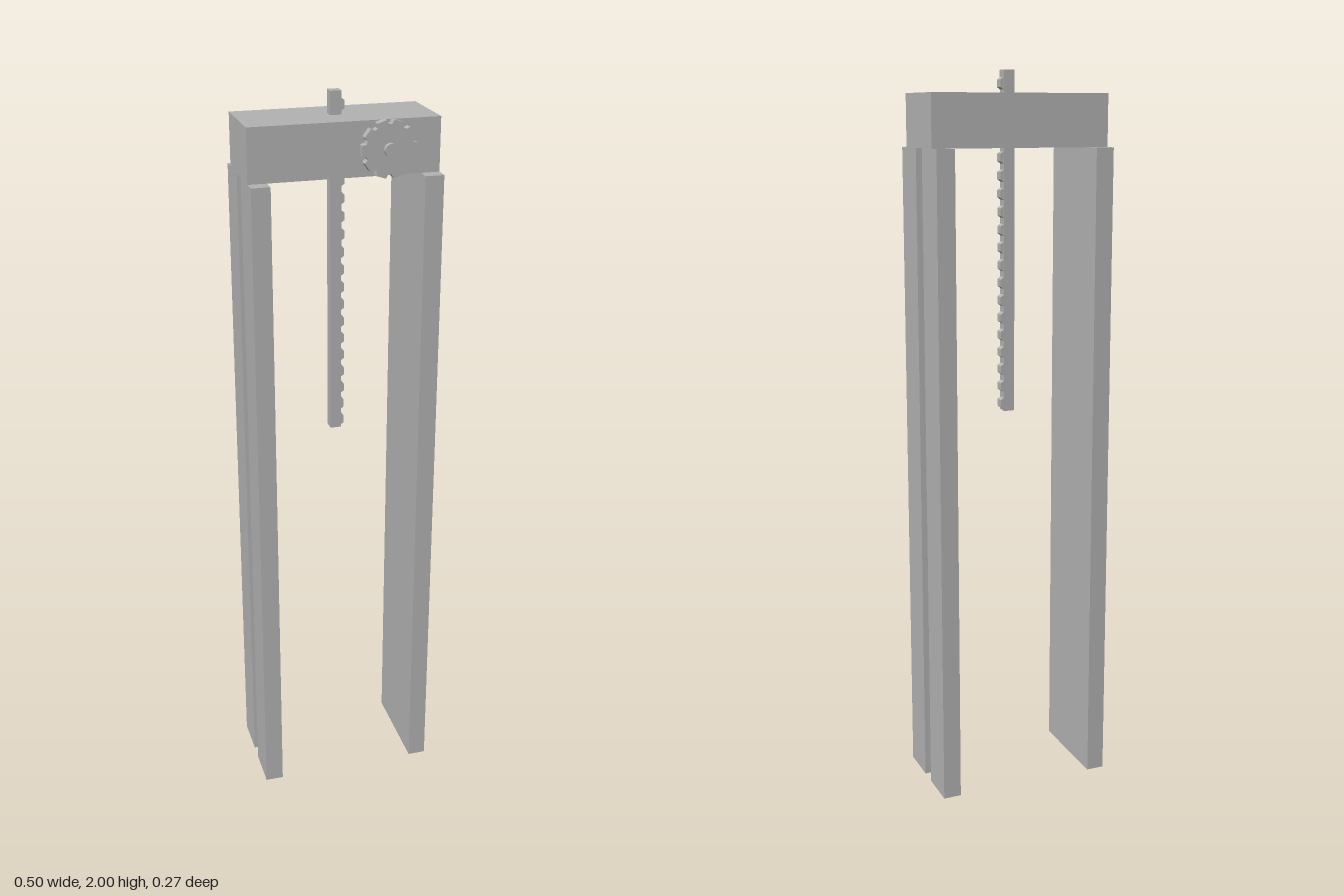
import * as THREE from 'three';

export function createModel() {
  const model = new THREE.Group();
  model.name = 'rackAndPinionGate';
  const grey = new THREE.MeshStandardMaterial({ color: 0xb3b3b3 });
  grey.name = 'grey';

  function add(name, geometry, x = 0, y = 0, z = 0, parent = model) {
    const mesh = new THREE.Mesh(geometry, grey);
    mesh.name = name;
    mesh.position.set(x, y, z);
    parent.add(mesh);
    return mesh;
  }
  const box = (w, h, d) => new THREE.BoxGeometry(w, h, d);
  const extrude = (points, depth) => new THREE.ExtrudeGeometry(
    new THREE.Shape(points.map(([x, y]) => new THREE.Vector2(x, y))),
    { depth, bevelEnabled: false });

  // Side posts: flat inside, with a full-height groove in the outer face
  const postHeight = 1.8;
  for (const side of [1, -1]) {
    const profile = [
      [0.2, -0.137], [0.25, -0.137], [0.25, -0.024], [0.228, -0.024],
      [0.228, 0.024], [0.25, 0.024], [0.25, 0.137], [0.2, 0.137],
    ].map(([x, z]) => [x * side, z]);
    const post = add(side > 0 ? 'leftPost' : 'rightPost', extrude(profile, postHeight), 0, postHeight, 0);
    post.rotation.x = Math.PI / 2;
  }

  // Cross beam
  add('crossBeam', box(0.5, 0.14, 0.2), 0, 1.87, 0);

  // Toothed rack passing through the beam
  const rack = new THREE.Group();
  rack.name = 'rack';
  model.add(rack);
  add('rackBar', box(0.03, 0.92, 0.03), 0, 1.54, 0, rack);
  const tooth = extrude([[0, -0.016], [0.009, -0.01], [0.009, 0.01], [0, 0.016]], 0.024);
  for (let i = 0; i < 19; i++) {
    add('rackTooth', tooth, 0.015, 1.965 - i * 0.048, -0.012, rack);
  }

  // Pinion gear on the front of the beam
  const gear = new THREE.Group();
  gear.name = 'gear';
  gear.position.set(0.11, 1.87, 0.1);
  model.add(gear);
  const teeth = 10;
  const outline = [];
  for (let i = 0; i < teeth; i++) {
    for (const [offset, radius] of [[-14, 0.063], [-10, 0.0735], [10, 0.0735], [14, 0.063]]) {
      const a = THREE.MathUtils.degToRad(i * 360 / teeth + offset);
      outline.push([radius * Math.cos(a), radius * Math.sin(a)]);
    }
  }
  add('gearWheel', extrude(outline, 0.023), 0, 0, 0, gear);
  const hub = add('gearHub', new THREE.CylinderGeometry(0.017, 0.017, 0.037, 16), 0, 0, 0.0185, gear);
  hub.rotation.x = Math.PI / 2;

  return model;
}
